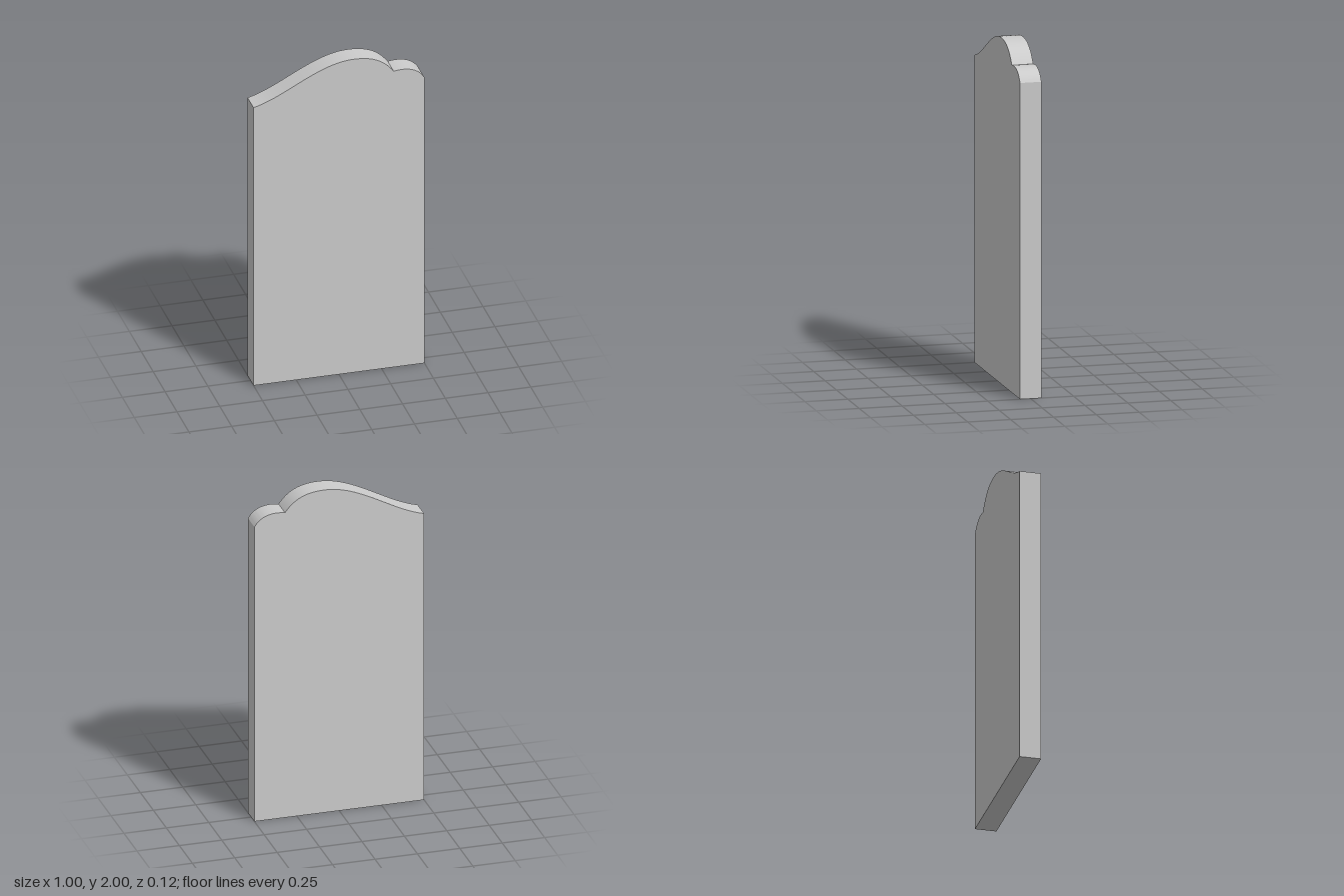
import * as THREE from 'three';
import { toCreasedNormals } from 'three/addons/utils/BufferGeometryUtils.js';

const DEPTH = 0.125;

export function createModel() {
  const group = new THREE.Group();
  group.name = 'panel';

  // Outline: straight sides, a long wave rising to a crest, then a small lobe
  const outline = new THREE.Shape();
  outline.moveTo(-0.5, 0);
  outline.lineTo(0.5, 0);
  outline.lineTo(0.5, 1.825);
  outline.bezierCurveTo(0.465, 1.885, 0.4, 1.905, 0.32, 1.89);
  outline.bezierCurveTo(0.265, 1.965, 0.2, 2.0, 0.085, 2.0);
  outline.bezierCurveTo(-0.12, 2.0, -0.31, 1.82, -0.5, 1.775);
  outline.closePath();

  // Flat slab with smooth shading along the curved top
  const slab = new THREE.ExtrudeGeometry(outline, { depth: DEPTH, bevelEnabled: false, curveSegments: 24 });
  slab.translate(0, 0, -DEPTH / 2);
  const board = new THREE.Mesh(
    toCreasedNormals(slab, 0.5),
    new THREE.MeshStandardMaterial({ color: 0xcccccc })
  );
  board.name = 'waveTopBoard';
  group.add(board);

  return group;
}
